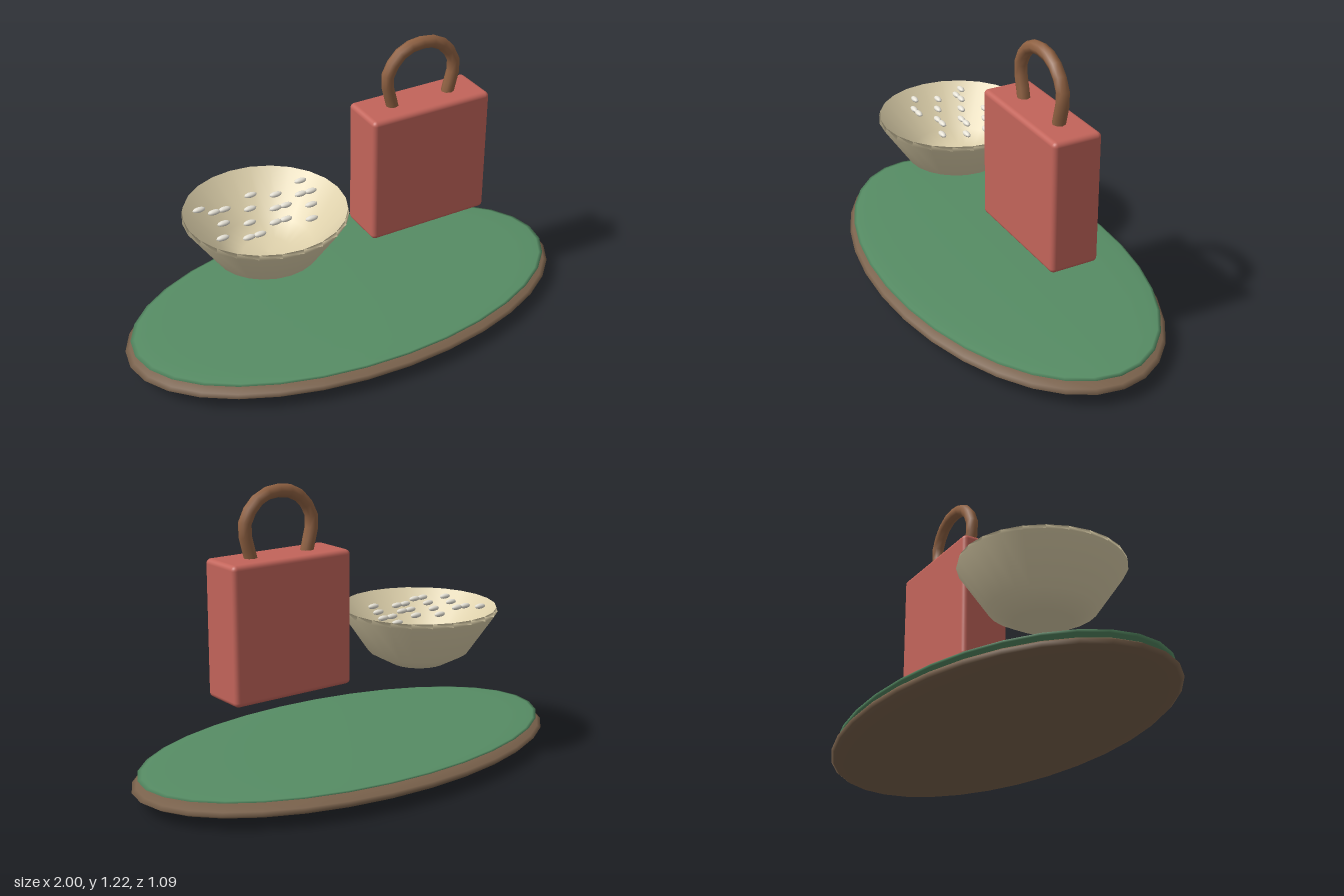
import * as THREE from 'three';
import { RoundedBoxGeometry } from 'three/addons/geometries/RoundedBoxGeometry.js';

const paint = (color, extra = {}) => new THREE.MeshStandardMaterial({ color, ...extra });

function add(parent, name, geometry, material, x = 0, y = 0, z = 0) {
  const mesh = new THREE.Mesh(geometry, material);
  mesh.name = name;
  mesh.position.set(x, y, z);
  parent.add(mesh);
  return mesh;
}

export function createModel() {
  const model = new THREE.Group();
  model.name = 'picnicSet';

  // flattened oval ground with a thinner grass layer on top
  const ball = new THREE.SphereGeometry(1, 32, 16);
  add(model, 'earthBase', ball, paint(0x7a624c), 0, 0.06, 0).scale.set(1, 0.06, 0.545);
  add(model, 'grassTop', ball, paint(0x568c64), 0, 0.105, 0).scale.set(0.975, 0.017, 0.525);

  // bowl: outer wall, rim, then hollow inside
  const bowl = new THREE.Group();
  bowl.name = 'bowl';
  bowl.position.set(-0.372, 0.38, 0);
  model.add(bowl);
  const profile = [
    [0, 0], [0.12, 0], [0.217, 0.053], [0.338, 0.23],
    [0.333, 0.249], [0.19, 0.08], [0.1, 0.04], [0, 0.035],
  ].map(([r, y]) => new THREE.Vector2(r, y));
  add(bowl, 'bowlShell', new THREE.LatheGeometry(profile, 24), paint(0xdccfaa, { side: THREE.DoubleSide }));

  // grains scattered on a regular lattice just below the rim
  const grain = new THREE.SphereGeometry(1, 10, 8);
  const grainPaint = paint(0xe6e2d6);
  for (let i = 0; i < 20; i++) {
    const x = (((i * 7) % 11) - 5) * 0.046;
    const z = (((i * 3) % 7) - 3) * 0.046;
    add(bowl, 'grain', grain, grainPaint, x, 0.236, z).scale.set(0.028, 0.011, 0.013);
  }

  // upright basket box with a bent carrying handle
  const basket = new THREE.Group();
  basket.name = 'basket';
  basket.position.set(0.348, 0, 0);
  model.add(basket);
  add(basket, 'basketBody', new RoundedBoxGeometry(0.555, 0.56, 0.21, 3, 0.02), paint(0xc2645a), 0, 0.665, 0);
  const path = new THREE.CatmullRomCurve3([
    [-0.13, 0.93], [-0.157, 1.08], [-0.09, 1.172], [0, 1.195],
    [0.09, 1.172], [0.157, 1.08], [0.13, 0.93],
  ].map(([x, y]) => new THREE.Vector3(x, y, 0)));
  add(basket, 'basketHandle', new THREE.TubeGeometry(path, 14, 0.027, 8), paint(0x8f6142));

  return model;
}
